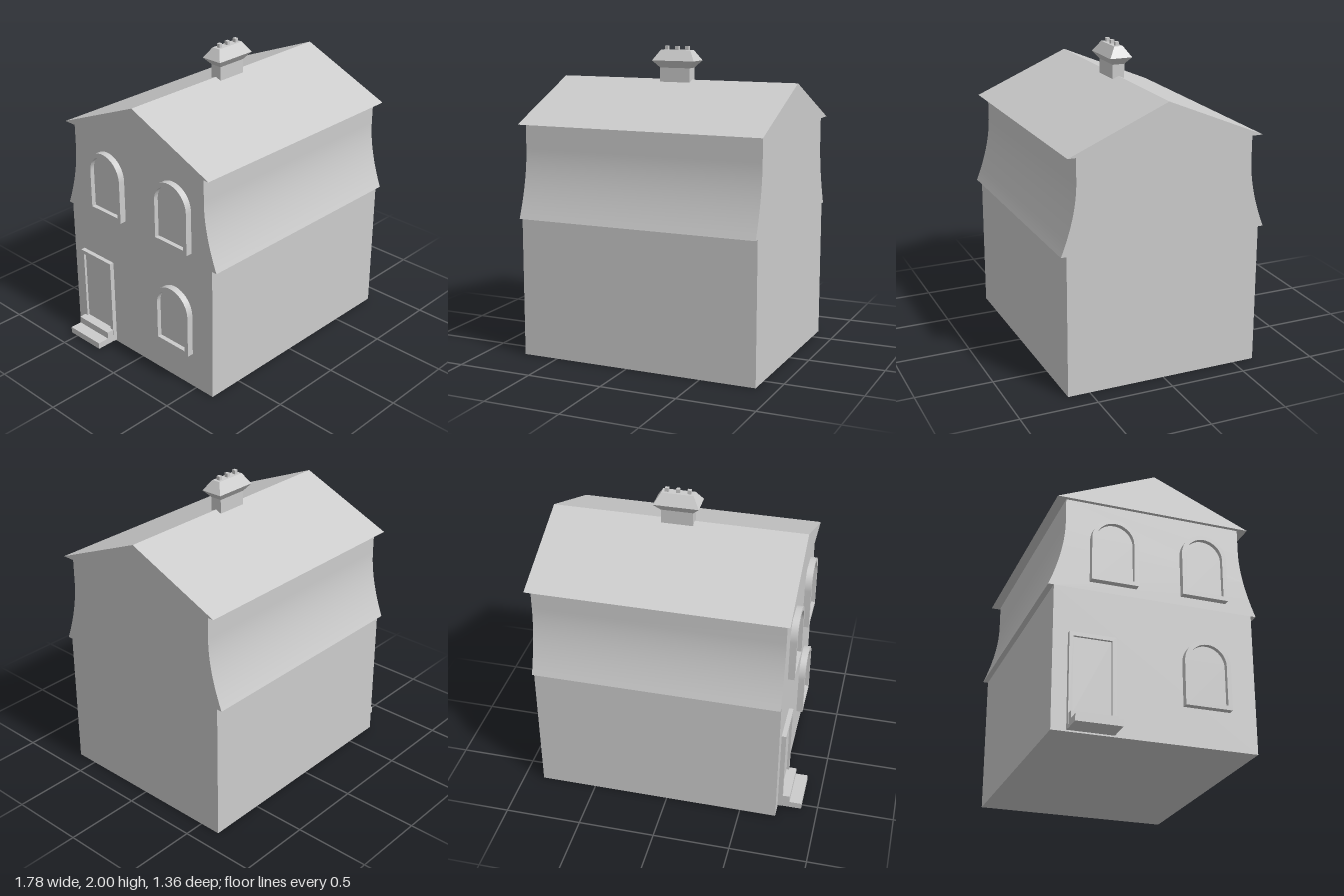
import * as THREE from 'three';
import { toCreasedNormals } from 'three/addons/utils/BufferGeometryUtils.js';

const material = new THREE.MeshStandardMaterial({ color: 0xcccccc });
const WALL_X = -0.738;

function add(parent, name, geometry) {
  const mesh = new THREE.Mesh(geometry, material);
  mesh.name = name;
  parent.add(mesh);
  return mesh;
}

// Extrudes a (z, y) outline along x, from x0 towards -x
function extrudeX(shape, x0, depth) {
  const g = new THREE.ExtrudeGeometry(shape, { depth, bevelEnabled: false, curveSegments: 20 });
  g.rotateY(-Math.PI / 2).translate(x0, 0, 0);
  return toCreasedNormals(g, 0.5);
}

// Rectangle, or round-topped outline when arched
function outline(target, halfW, y0, y1, arched) {
  target.moveTo(-halfW, y0);
  target.lineTo(halfW, y0);
  if (arched) {
    target.lineTo(halfW, y1 - halfW);
    target.absarc(0, y1 - halfW, halfW, 0, Math.PI, false);
  } else {
    target.lineTo(halfW, y1);
    target.lineTo(-halfW, y1);
  }
  target.closePath();
  return target;
}

// Raised frame around a recessed panel on the -x wall
function framedOpening(name, z, halfW, y0, y1, arched, depth, border, sill) {
  const group = new THREE.Group();
  group.name = name;
  const frame = outline(new THREE.Shape(), halfW, y0, y1, arched);
  frame.holes.push(outline(new THREE.Path(), halfW - border, y0 + sill, y1 - border, arched));
  add(group, name + 'Frame', extrudeX(frame, WALL_X + 0.005, depth + 0.005));
  const panel = outline(new THREE.Shape(), halfW - border, y0 + sill, y1 - border, arched);
  add(group, name + 'Panel', extrudeX(panel, WALL_X + 0.005, 0.018));
  group.position.z = z;
  return group;
}

// Box whose bottom and top have different sizes
function frustum(bottomW, bottomD, topW, topD, y0, y1) {
  const g = new THREE.BoxGeometry(1, y1 - y0, 1);
  const p = g.attributes.position;
  for (let i = 0; i < p.count; i++) {
    const top = p.getY(i) > 0;
    p.setX(i, p.getX(i) * (top ? topW : bottomW));
    p.setZ(i, p.getZ(i) * (top ? topD : bottomD));
  }
  g.computeVertexNormals();
  return g.translate(0, (y0 + y1) / 2, 0);
}

export function createModel() {
  const house = new THREE.Group();
  house.name = 'house';

  // Walls with a flared skirt between the storeys
  const walls = new THREE.Shape();
  walls.moveTo(-0.643, 0);
  walls.lineTo(0.643, 0);
  walls.lineTo(0.643, 0.913);
  walls.lineTo(0.678, 0.913);
  walls.quadraticCurveTo(0.577, 1.16, 0.577, 1.36);
  walls.lineTo(0.577, 1.52);
  walls.lineTo(-0.577, 1.52);
  walls.lineTo(-0.577, 1.36);
  walls.quadraticCurveTo(-0.577, 1.16, -0.678, 0.913);
  walls.lineTo(-0.643, 0.913);
  walls.closePath();
  add(house, 'walls', extrudeX(walls, 0.868, 0.868 - WALL_X));

  // Gabled roof
  const roof = new THREE.Shape();
  roof.moveTo(-0.638, 1.515);
  roof.lineTo(0.638, 1.515);
  roof.lineTo(0, 1.785);
  roof.closePath();
  add(house, 'roof', toCreasedNormals(extrudeX(roof, 0.889, 1.651), 0.1));

  // Chimney with a flared cap and three flues
  const chimney = new THREE.Group();
  chimney.name = 'chimney';
  chimney.position.x = 0.066;
  add(chimney, 'chimneyStack', frustum(0.208, 0.08, 0.208, 0.08, 1.765, 1.86));
  add(chimney, 'chimneyCapLower', frustum(0.208, 0.08, 0.294, 0.15, 1.86, 1.907));
  add(chimney, 'chimneyCapUpper', frustum(0.294, 0.15, 0.208, 0.058, 1.907, 1.975));
  for (const x of [-0.072, 0, 0.072]) {
    add(chimney, 'flue', frustum(0.024, 0.024, 0.024, 0.024, 1.97, 2)).position.x = x;
  }
  house.add(chimney);

  // Arched windows
  for (const [z, y] of [[-0.27, 0.97], [0.32, 0.97], [0.32, 0.243]]) {
    house.add(framedOpening('window', z, 0.15, y, y + 0.433, true, 0.043, 0.028, 0.028));
  }

  // Door and its two steps
  house.add(framedOpening('door', -0.405, 0.145, 0.01, 0.61, false, 0.03, 0.025, 0.09));
  [[-0.895, 0.01, 0.053], [-0.815, 0.053, 0.1]].forEach(([x, y0, y1]) => {
    const step = new THREE.BoxGeometry(WALL_X - x, y1 - y0, 0.285);
    add(house, 'step', step).position.set((WALL_X + x) / 2, (y0 + y1) / 2, -0.405);
  });

  return house;
}
